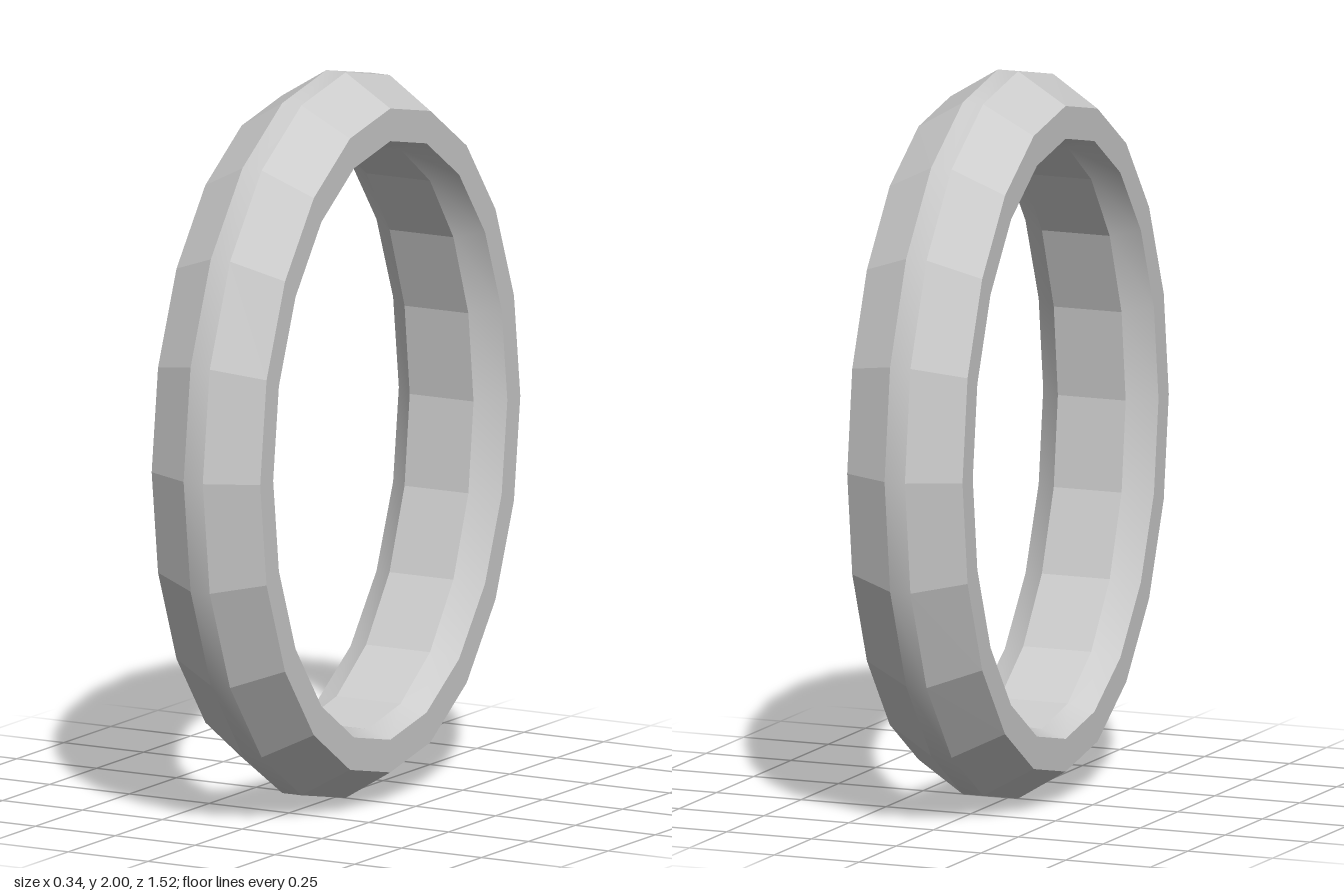
import * as THREE from 'three';

const SEGMENTS = 20;

// One band of the oval ring between two cross-section points [x, radiusY, radiusZ]
function bandGeometry(a, b, smooth) {
  const positions = [], index = [];
  for (let i = 0; i < SEGMENTS; i++) {
    const t = (i / SEGMENTS) * Math.PI * 2;
    for (const [x, ry, rz] of [a, b]) {
      positions.push(x, 1 + ry * Math.cos(t), rz * Math.sin(t));
    }
    const p = i * 2, n = ((i + 1) % SEGMENTS) * 2;
    index.push(p, p + 1, n, n, p + 1, n + 1);
  }
  let geometry = new THREE.BufferGeometry();
  geometry.setAttribute('position', new THREE.Float32BufferAttribute(positions, 3));
  geometry.setIndex(index);
  if (!smooth) geometry = geometry.toNonIndexed();
  geometry.computeVertexNormals();
  return geometry;
}

export function createModel() {
  const group = new THREE.Group();
  group.name = 'ovalRing';
  const material = new THREE.MeshStandardMaterial({ color: 0xcccccc });

  // Closed cross-section: over the outside, down one face, back along the inside
  const section = [
    [0.17, 0.915, 0.692],
    [0.03, 1.0, 0.76],
    [-0.03, 1.0, 0.76],
    [-0.17, 0.915, 0.692],
    [-0.17, 0.825, 0.623],
    [-0.1, 0.803, 0.562],
    [0.1, 0.803, 0.562],
    [0.17, 0.825, 0.623],
  ];

  // Name and shading of the band that starts at each cross-section point
  const bands = [
    ['leftOuterBevel', false],
    ['outerCrest', true],
    ['rightOuterBevel', false],
    ['rightFace', false],
    ['rightInnerBevel', true],
    ['innerBand', false],
    ['leftInnerBevel', true],
    ['leftFace', false],
  ];

  bands.forEach(([name, smooth], i) => {
    const next = section[(i + 1) % section.length];
    const mesh = new THREE.Mesh(bandGeometry(section[i], next, smooth), material);
    mesh.name = name;
    group.add(mesh);
  });
  return group;
}
